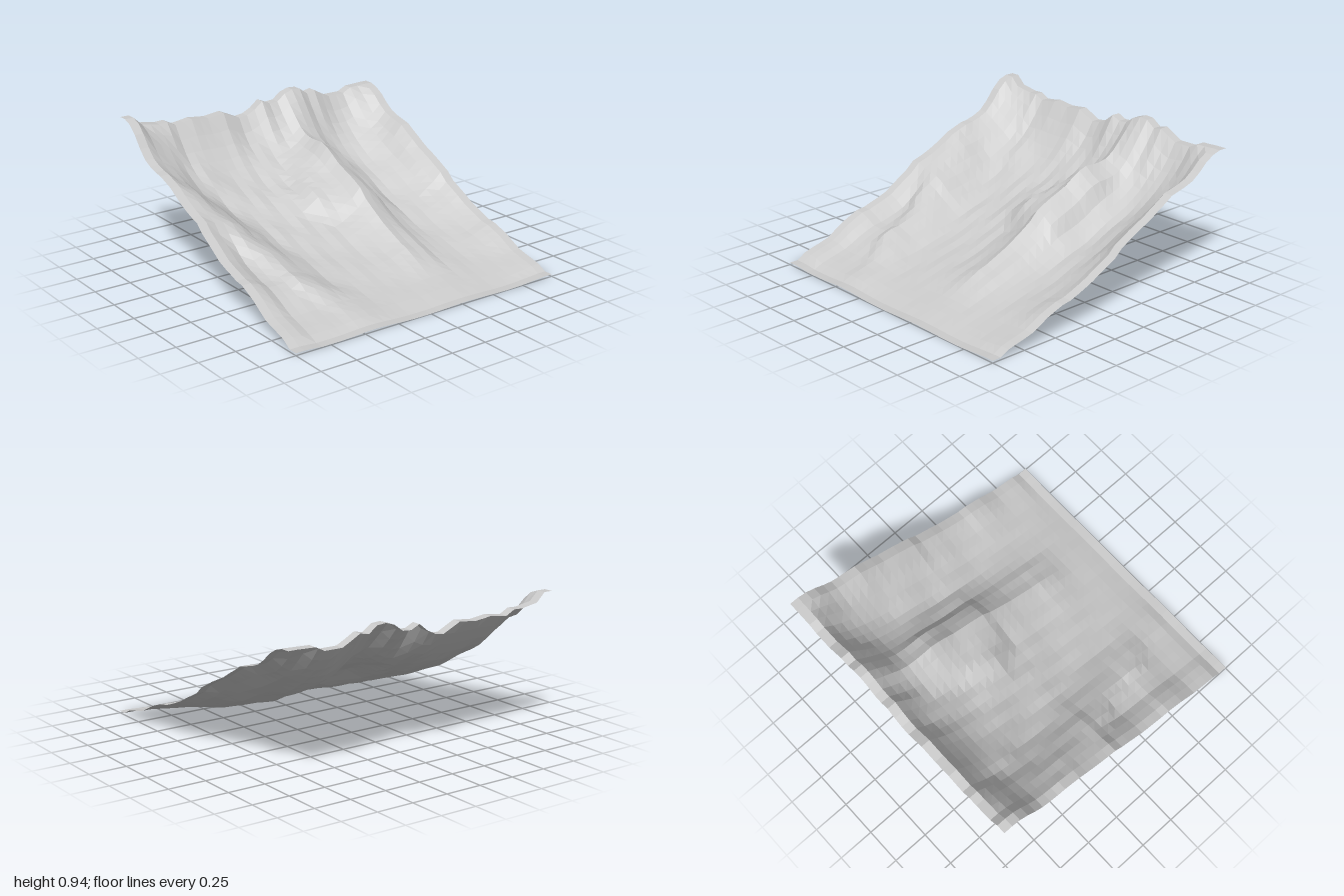
import * as THREE from 'three';

const { smoothstep, clamp, lerp } = THREE.MathUtils;

// Straight-line lookup in a list of [position, value] pairs
function curve(points, t) {
  for (let i = 1; i < points.length; i++) {
    const [a, va] = points[i - 1], [b, vb] = points[i];
    if (t <= b) return lerp(va, vb, clamp((t - a) / (b - a), 0, 1));
  }
  return points[points.length - 1][1];
}

// Valley floor down the slope
const floorLine = [[-0.94, 0.79], [-0.88, 0.695], [-0.8, 0.605], [-0.7, 0.53], [-0.6, 0.467], [-0.5, 0.415],
  [-0.4, 0.372], [-0.2, 0.295], [0, 0.23], [0.2, 0.17], [0.4, 0.122], [0.6, 0.08], [0.8, 0.037], [0.94, 0.001]];
// Height of the ridges above the floor
const relief = [[-0.94, 0], [-0.88, 0.09], [-0.8, 0.17], [-0.68, 0.2], [-0.6, 0.22], [-0.5, 0.26], [-0.38, 0.265],
  [-0.3, 0.25], [-0.2, 0.25], [-0.06, 0.24], [0, 0.2], [0.2, 0.14], [0.38, 0.122], [0.44, 0.13], [0.55, 0.11],
  [0.7, 0.045], [0.88, 0.035], [0.94, 0.01]];
// Crinkled upper rim, from back to front
const rim = [[-1, 0.065], [-0.81, 0.06], [-0.75, 0.03], [-0.62, 0.03], [-0.5, 0.095], [-0.44, 0.08], [-0.38, 0.125],
  [-0.31, 0.13], [-0.25, 0.11], [-0.19, 0.065], [-0.12, 0.06], [-0.06, 0.09], [0, 0.04], [0.06, 0.01], [0.12, 0],
  [0.25, 0.06], [0.38, 0.045], [0.5, 0.06], [0.62, 0.04], [0.69, 0.075], [0.75, 0.07], [0.88, 0.09], [0.94, 0.15]];
// Where the front ridge runs, drifting inward as it descends, and its height
const frontCrest = [[-0.5, 1], [-0.2, 0.9], [0.2, 0.69], [0.5, 0.62], [0.8, 0.48]];
const frontHeight = [[-0.5, 0.96], [-0.2, 0.88], [0.15, 0.78], [0.5, 0.72], [0.8, 0.6]];
const backHeight = [[-0.5, 0.88], [0, 0.7], [0.5, 0.6]];
// Height of the middle ridge, and how far the shelf on its front side reaches
const middleCrest = [[-0.9, 0.35], [-0.7, 0.7], [-0.45, 0.93], [0, 0.85], [0.4, 0.62], [0.65, 0.25], [0.9, 0]];
const middleShelf = [[-0.7, 0.1], [-0.45, 0.18], [-0.2, 0.28], [0, 0.12]];
const middleBack = [[0, 1], [0.125, 0.66], [0.19, 0.28], [0.31, 0]];

function height(x, z) {
  // Front ridge, falling away behind its crest, and the raised front border
  const crest = curve(frontCrest, x);
  const width = lerp(0.46, 0.32, smoothstep(x, -0.4, 0.5));
  const front = curve(frontHeight, x) * smoothstep(z, crest - width, crest)
    - 0.25 * smoothstep(x, -0.1, 0.2) * smoothstep(z, crest, crest + 0.07);
  const border = 0.95 * smoothstep(z, 0.72, 0.93);

  // Back wall, steepest near the border
  const back = curve(backHeight, x) * clamp((-z - 0.58) / 0.355, 0, 1) ** 2;

  // Middle ridge: sharp drop, shelf and gentle apron in front, even slope behind
  const d = z + 0.25;
  const shelf = curve(middleShelf, x);
  const side = d < 0 ? curve(middleBack, -d)
    : curve([[0, 1], [0.07, 0.66], [shelf, 0.45], [shelf + 0.12, 0.12], [shelf + 0.3, 0]], d);
  const middle = curve(middleCrest, x) * side;

  // Small spur below the rim, and fine unevenness
  const spur = 0.18 * Math.exp(-(((x + 0.66) / 0.12) ** 2) - ((z - 0.54) / 0.07) ** 2);
  const streak = 0.02 * Math.sin(z * 37 - x * 7) + 0.02 * Math.sin(x * 17 + z * 8);

  const profile = Math.max(front, border, back, middle) + spur + streak + 0.035;
  const rimFade = 1 - smoothstep(x, -0.92, -0.68);
  return Math.max(0, curve(floorLine, x) + curve(relief, x) * profile + curve(rim, z) * rimFade
    + 0.004 * (1 + Math.sin(z * 9 - 2)) * smoothstep(x, 0.6, 0.94));
}

export function createModel() {
  const group = new THREE.Group();
  group.name = 'hillside';

  // Ridged sloping sheet, with a flat strip along every border
  const geometry = new THREE.PlaneGeometry(2, 2, 32, 32).rotateX(-Math.PI / 2);
  const p = geometry.attributes.position;
  for (let i = 0; i < p.count; i++) {
    const x = clamp(p.getX(i), -0.9375, 0.9375), z = clamp(p.getZ(i), -0.9375, 0.9375);
    p.setY(i, height(x, z));
  }
  geometry.computeVertexNormals();

  const terrain = new THREE.Mesh(geometry, new THREE.MeshStandardMaterial({
    color: 0xcccccc, flatShading: true, side: THREE.DoubleSide }));
  terrain.name = 'terrainSheet';
  group.add(terrain);
  return group;
}
